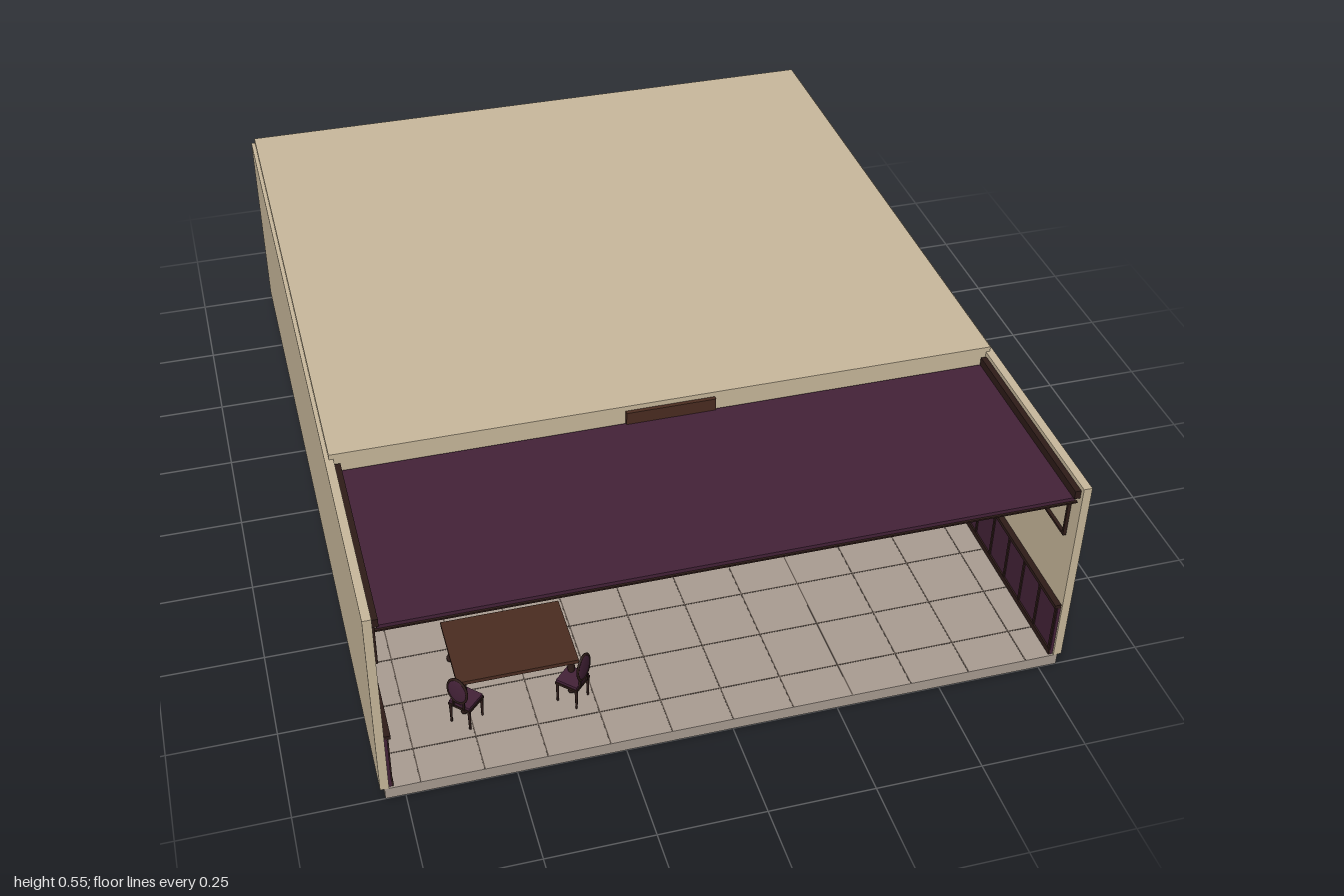
import * as THREE from 'three';

const mat = (name, color) => new THREE.MeshStandardMaterial({ name, color });

export function createModel() {
  const wall = mat('sandWall', 0xc9b99c);
  const stone = mat('stoneFloor', 0xa99d92);
  const grout = mat('grout', 0x5e534b);
  const plum = mat('plum', 0x442238);
  const brown = mat('walnut', 0x4a2c20);
  const dark = mat('darkWood', 0x2e1c18);
  const cream = mat('cream', 0xd6c8ac);

  const model = new THREE.Group();
  model.name = 'pavilion';
  const group = (name, parent = model) => {
    const g = new THREE.Group();
    g.name = name;
    parent.add(g);
    return g;
  };
  const add = (parent, name, geo, m, x = 0, y = 0, z = 0) => {
    const mesh = new THREE.Mesh(geo, m);
    mesh.name = name;
    mesh.position.set(x, y, z);
    parent.add(mesh);
    return mesh;
  };
  // Box given by its limits on each axis
  const box = (parent, name, m, x0, x1, y0, y1, z0, z1) => add(parent, name,
    new THREE.BoxGeometry(x1 - x0, y1 - y0, z1 - z0), m, (x0 + x1) / 2, (y0 + y1) / 2, (z0 + z1) / 2);

  // Shell: floor slab, outer walls, roof
  const shell = group('shell');
  box(shell, 'floorSlab', stone, -0.795, 0.795, 0, 0.03, -0.985, 1);
  box(shell, 'leftWall', wall, 0.785, 0.805, 0.03, 0.535, -0.985, 1);
  box(shell, 'rightWall', wall, -0.805, -0.785, 0.03, 0.535, -0.985, 1);
  box(shell, 'backWall', wall, -0.795, 0.795, 0.03, 0.535, -1, -0.985);
  box(shell, 'roof', wall, -0.795, 0.795, 0.535, 0.548, -0.985, 0.47);

  // Front wall with a doorway
  box(shell, 'frontWallRight', wall, -0.785, -0.11, 0.03, 0.535, 0.455, 0.47);
  box(shell, 'frontWallLeft', wall, 0.105, 0.785, 0.03, 0.535, 0.455, 0.47);
  box(shell, 'frontWallLintel', wall, -0.11, 0.105, 0.375, 0.535, 0.455, 0.47);
  box(shell, 'signBoard', brown, -0.11, 0.105, 0.378, 0.535, 0.47, 0.48);
  for (const x of [-0.11, 0.105])
    box(shell, 'doorPost', dark, x - 0.005, x + 0.005, 0.03, 0.375, 0.452, 0.478);
  box(shell, 'doorHead', dark, -0.115, 0.11, 0.37, 0.376, 0.452, 0.474);

  // Floor tile joints
  const joints = group('tileJoints');
  for (let i = -5; i <= 5; i++)
    box(joints, 'jointAlong', grout, i * 0.143 - 0.0015, i * 0.143 + 0.0015, 0.03, 0.0308, -0.985, 0.998);
  for (let i = 0; i < 14; i++) {
    const z = 0.9 - i * 0.143;
    box(joints, 'jointAcross', grout, -0.785, 0.785, 0.03, 0.0308, z - 0.0015, z + 0.0015);
  }

  // Canopy over the terrace
  const canopy = group('canopy');
  box(canopy, 'canopyCloth', plum, -0.775, 0.775, 0.491, 0.503, 0.475, 0.985);
  box(canopy, 'canopyFrontBar', dark, -0.78, 0.78, 0.49, 0.494, 0.982, 0.99);

  // Panelling, rails and wall frames, the same on both sides
  for (const s of [-1, 1]) {
    const side = group(s > 0 ? 'leftTerraceSide' : 'rightTerraceSide');
    const strip = (name, m, depth, y0, y1, z0, z1) => {
      const a = s * 0.785, b = s * (0.785 - depth);
      return box(side, name, m, Math.min(a, b), Math.max(a, b), y0, y1, z0, z1);
    };
    strip('wainscot', plum, 0.007, 0.03, 0.178, 0.47, 0.995);
    strip('wainscotCap', dark, 0.015, 0.176, 0.186, 0.47, 0.995);
    strip('wainscotBase', dark, 0.011, 0.03, 0.045, 0.47, 0.995);
    for (let i = 0; i <= 6; i++) {
      const z = 0.475 + i * 0.085;
      strip('wainscotStile', dark, 0.01, 0.045, 0.176, z, z + 0.007);
    }
    strip('canopyRail', dark, 0.014, 0.503, 0.524, 0.475, 0.99);
    strip('frameBottom', dark, 0.008, 0.37, 0.376, 0.8, 0.96);
    strip('frameTop', dark, 0.008, 0.474, 0.48, 0.8, 0.96);
    for (const z of [0.8, 0.954]) strip('frameUpright', dark, 0.008, 0.37, 0.48, z, z + 0.006);
  }

  // Side door with a round window
  const door = group('door');
  box(door, 'doorPanel', plum, 0.53, 0.69, 0.03, 0.35, 0.47, 0.478);
  const pane = add(door, 'roundWindow', new THREE.SphereGeometry(0.046, 24, 12), cream, 0.61, 0.282, 0.478);
  pane.scale.z = 0.2;

  // Dining table
  const table = group('table');
  table.position.set(-0.457, 0.03, 0.735);
  box(table, 'tableTop', brown, -0.14, 0.14, 0.1, 0.11, -0.1, 0.1);
  box(table, 'tableApron', brown, -0.128, 0.128, 0.094, 0.1, -0.088, 0.088);
  const legProfile = [[0, 0], [0.008, 0], [0.009, 0.008], [0.004, 0.018], [0.005, 0.05], [0.009, 0.075], [0.007, 0.1]]
    .map(([r, y]) => new THREE.Vector2(r, y));
  for (const x of [-0.125, 0.125])
    for (const z of [-0.085, 0.085])
      add(table, 'tableLeg', new THREE.LatheGeometry(legProfile, 10), dark, x, 0, z);

  // Oval-backed chairs, turned towards the table
  const makeChair = (x, z, yaw) => {
    const chair = group('chair');
    chair.position.set(x, 0.03, z);
    chair.rotation.y = yaw;
    box(chair, 'seatFrame', dark, -0.029, 0.029, 0.054, 0.06, -0.029, 0.029);
    box(chair, 'seatCushion', plum, -0.027, 0.027, 0.06, 0.067, -0.027, 0.027);
    for (const lx of [-0.025, 0.025])
      for (const lz of [-0.025, 0.025])
        add(chair, 'chairLeg', new THREE.CylinderGeometry(0.004, 0.0025, 0.055, 8), dark, lx, 0.0275, lz);
    for (const lx of [-0.014, 0.014])
      box(chair, 'backSupport', dark, lx - 0.002, lx + 0.002, 0.06, 0.09, -0.031, -0.026);
    const pad = add(chair, 'backPad', new THREE.SphereGeometry(0.027, 16, 10), plum, 0, 0.112, -0.03);
    pad.scale.set(0.95, 1.3, 0.16);
    const rim = add(chair, 'backRim', new THREE.TorusGeometry(0.027, 0.003, 6, 20), dark, 0, 0.112, -0.03);
    rim.scale.set(0.95, 1.3, 1);
  };
  makeChair(-0.58, 0.84, Math.PI * 0.75);
  makeChair(-0.334, 0.84, -Math.PI * 0.75);

  // Counter and shelves seen through the doorway
  const room = group('room');
  box(room, 'counter', plum, -0.22, 0.06, 0.03, 0.18, -0.1, 0);
  box(room, 'counterTop', dark, -0.225, 0.065, 0.18, 0.188, -0.105, 0.005);
  box(room, 'shelfBack', brown, 0.05, 0.25, 0.03, 0.35, -0.98, -0.97);
  for (const x of [0.05, 0.244]) box(room, 'shelfSide', brown, x, x + 0.006, 0.03, 0.35, -0.97, -0.91);
  for (let i = 0; i < 6; i++) {
    const y = 0.035 + i * 0.061;
    box(room, 'shelf', dark, 0.056, 0.244, y, y + 0.006, -0.97, -0.912);
  }
  return model;
}
